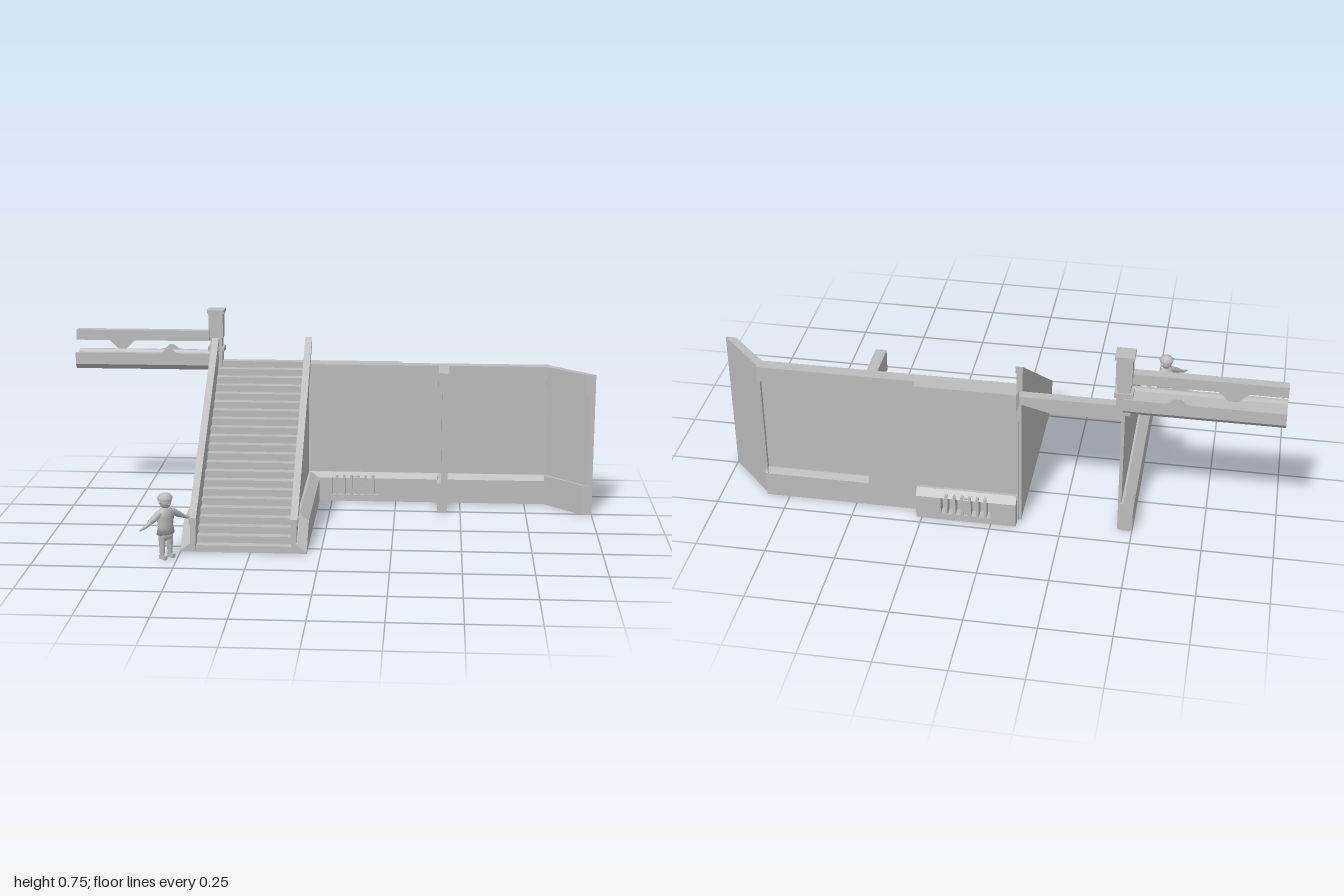
import * as THREE from 'three';
import { ConvexGeometry } from 'three/addons/geometries/ConvexGeometry.js';

const stone = new THREE.MeshStandardMaterial({ color: 0xbcbcbc });
stone.name = 'grey stone';

export function createModel() {
  const root = new THREE.Group();
  root.name = 'stairAndWall';

  const add = (name, geo, parent = root) => {
    const m = new THREE.Mesh(geo, stone);
    m.name = name;
    parent.add(m);
    return m;
  };
  const group = (name, parent = root) => {
    const g = new THREE.Group();
    g.name = name;
    parent.add(g);
    return g;
  };
  // Box given by its limits on each axis
  const box = (name, x0, x1, y0, y1, z0, z1, parent) =>
    add(name, new THREE.BoxGeometry(x1 - x0, y1 - y0, z1 - z0)
      .translate((x0 + x1) / 2, (y0 + y1) / 2, (z0 + z1) / 2), parent);
  const extrude = (pts, depth) => new THREE.ExtrudeGeometry(
    new THREE.Shape(pts.map(p => new THREE.Vector2(p[0], p[1]))), { depth, bevelEnabled: false });
  // [z, y] outline swept along x
  const alongX = (name, pts, x0, x1, parent) =>
    add(name, extrude(pts.map(([z, y]) => [-z, y]), x1 - x0).rotateY(Math.PI / 2).translate(x0, 0, 0), parent);
  // [x, y] outline swept along z
  const alongZ = (name, pts, z0, z1, parent) =>
    add(name, extrude(pts, z1 - z0).translate(0, 0, z0), parent);
  // [x, z] outline swept upwards
  const alongY = (name, pts, y0, y1, parent) =>
    add(name, extrude(pts.map(([x, z]) => [x, -z]), y1 - y0).rotateX(-Math.PI / 2).translate(0, y0, 0), parent);

  // Staircase: overlapping blocks leave a saw-toothed underside
  const stairs = group('staircase');
  const steps = 22, run = 0.77 / steps, rise = 0.545 / steps;
  for (let i = 0; i < steps; i++) {
    const z = 0.31 - i * run;
    box('step', -0.445, -0.1, i * rise, (i + 1) * rise, Math.max(z - run * 1.25, -0.46), z, stairs);
  }

  // Stair side walls: thin panel, sloping band, handrail and bevelled plinth
  for (const side of [1, -1]) {
    const g = group(side > 0 ? 'leftStairWall' : 'rightStairWall');
    const end = -0.425;
    alongX('sidePanel', [[0.31, 0], [0.31, 0.1], [end, 0.62], [end, 0]], 0.172, 0.184, g);
    alongX('slopingBand', [[0.31, 0.03], [0.31, 0.11], [end, 0.63], [end, 0.545]], 0.17, 0.19, g);
    alongX('handrail', [[0.31, 0.1], [0.31, 0.125], [end, 0.643], [end, 0.618]], 0.168, 0.194, g);
    const back = side > 0 ? -0.385 : -0.43;
    const ring = (x, top, low) => [[0.31, 0], [0.31, low], [0.2, top], [back, top], [back, 0]]
      .map(([z, y]) => new THREE.Vector3(x, y, z));
    add('plinth', new ConvexGeometry([...ring(0.18, 0.115, 0.03), ...ring(0.192, 0.115, 0.03),
      ...ring(0.226, 0.09, 0.005)]), g);
    // Mirror the vertices and turn the faces round for the other side
    if (side < 0) g.children.forEach(m => {
      const geo = m.geometry.index ? m.geometry.toNonIndexed() : m.geometry;
      geo.scale(-1, 1, 1);
      const p = geo.attributes.position;
      for (let i = 0; i < p.count; i += 3) {
        const a = new THREE.Vector3().fromBufferAttribute(p, i + 1);
        const b = new THREE.Vector3().fromBufferAttribute(p, i + 2);
        p.setXYZ(i + 1, b.x, b.y, b.z);
        p.setXYZ(i + 2, a.x, a.y, a.z);
      }
      geo.computeVertexNormals();
      m.geometry = geo;
    });
    g.position.x = -0.275;
  }

  // Post at the top of the stairs
  const post = group('post');
  box('postFoot', -0.48, -0.43, 0.51, 0.585, -0.465, -0.42, post);
  box('postCollar', -0.487, -0.423, 0.583, 0.6, -0.472, -0.418, post);
  box('postNeck', -0.478, -0.432, 0.6, 0.64, -0.465, -0.424, post);
  box('postBlock', -0.483, -0.427, 0.637, 0.735, -0.473, -0.415, post);
  box('postCap', -0.488, -0.422, 0.733, 0.746, -0.477, -0.411, post);

  // Raised balustrade running from the post
  const rail = group('balustrade');
  alongX('lowerBeam', [[-0.38, 0.58], [-0.38, 0.535], [-0.398, 0.515], [-0.457, 0.515],
    [-0.475, 0.535], [-0.475, 0.58], [-0.462, 0.58], [-0.457, 0.57], [-0.398, 0.57], [-0.393, 0.58]], -1, -0.455, rail);
  alongZ('upperBeam', [[-1, 0.665], [-1, 0.625], [-0.87, 0.625], [-0.835, 0.592], [-0.805, 0.592],
    [-0.77, 0.625], [-0.48, 0.625], [-0.48, 0.665]], -0.445, -0.41, rail);
  for (const z of [-0.48, -0.393]) {
    alongZ('crest', [[-0.7, 0.575], [-0.66, 0.585], [-0.645, 0.6], [-0.63, 0.6], [-0.61, 0.585], [-0.57, 0.575]],
      z + 0.005, z + 0.013, rail);
    alongZ('diamond', [[-0.665, 0.558], [-0.637, 0.576], [-0.609, 0.558], [-0.637, 0.54]], z, z + 0.018, rail);
  }

  // Wall cores, thinnest behind the framed panels
  const wall = group('wall');
  const H = 0.546;
  box('firstPanel', -0.093, 0.27, 0, H, -0.435, -0.394, wall);
  box('pilaster', 0.268, 0.45, 0, H, -0.425, -0.394, wall);
  box('secondPanel', 0.448, 0.84, 0, H, -0.41, -0.394, wall);

  // Top trims with a pointed tooth and angled corners
  const trim = (x0, x1, t0, t1, t2, t3, z0, z1) => alongZ('topTrim', [[x0, H], [x0, 0.475], [x0 + 0.035, 0.505],
    [t0, 0.505], [t1, 0.468], [t2, 0.468], [t3, 0.505], [x1 - 0.03, 0.505], [x1, 0.475], [x1, H]], z0, z1, wall);
  trim(-0.09, 0.42, 0.215, 0.262, 0.282, 0.33, -0.396, -0.38);
  trim(0.44, 0.835, 0.72, 0.785, 0.8, 0.802, -0.396, -0.38);
  trim(-0.09, 0.27, 0.05, 0.085, 0.1, 0.135, -0.456, -0.433);
  trim(0.44, 0.835, 0.6, 0.635, 0.65, 0.685, -0.425, -0.408);

  // Plinths with a bevelled top; the grille sections are left open
  const plinth = (x0, x1, zIn, zOut, y0 = 0) => {
    const zTop = zIn + (zOut - zIn) * 0.35;
    const pts = [[zIn, y0], [zOut, y0], [zOut, 0.093], [zTop, 0.115], [zIn, 0.115]];
    alongX('wallPlinth', pts, x0, x1, wall);
  };
  const grille = (zIn, zOut) => {
    const g = group('grille', wall);
    const lo = Math.min(zIn, zOut), hi = Math.max(zIn, zOut);
    box('grilleSill', 0, 0.18, 0, 0.025, lo, hi, g);
    plinth(0, 0.18, zIn, zOut, 0.1);
    for (let i = 0; i < 6; i++) {
      const x = 0.02 + i * 0.028, tall = i > 1 && i < 4;
      box('grilleBar', x - 0.005, x + 0.005, 0.02, 0.105, lo, hi + (tall && zOut > zIn ? 0.004 : 0), g);
    }
    alongZ('grilleBadge', [[0.07, 0.065], [0.08, 0.1], [0.1, 0.1], [0.11, 0.065], [0.1, 0.03], [0.08, 0.03]],
      lo + 0.002, hi - 0.001, g);
  };
  for (const [end, zIn, zOut] of [[0.42, -0.396, -0.379], [0.27, -0.433, -0.471]]) {
    plinth(-0.09, 0, zIn, zOut);
    plinth(0.18, end, zIn, zOut);
    grille(zIn, zOut);
  }
  plinth(0.44, 0.835, -0.396, -0.379);
  plinth(0.44, 0.835, -0.408, -0.425);

  // Buttress standing out from the wall, wider at head and foot
  const buttress = group('buttress');
  box('buttressShaft', 0.425, 0.45, 0, H, -0.4, -0.242, buttress);
  box('buttressHead', 0.411, 0.45, 0.465, H, -0.4, -0.24, buttress);
  box('buttressFoot', 0.411, 0.45, 0, 0.115, -0.4, -0.24, buttress);

  // Angled wing closing the far end
  const wing = group('angledWing');
  alongY('wingSlab', [[0.825, -0.425], [1, -0.245], [0.98, -0.245], [0.825, -0.4]], 0, H, wing);
  for (const [y0, y1] of [[0, 0.115], [0.465, H]])
    alongY('wingBand', [[0.825, -0.42], [0.995, -0.244], [0.962, -0.244], [0.825, -0.382]], y0, y1, wing);

  // Small standing figure with outstretched arms
  const man = group('figure');
  man.position.set(-0.54, 0, 0.385);
  man.rotation.y = 0.849;
  const limb = (name, a, b, r0, r1) => {
    const p = new THREE.Vector3(...a), q = new THREE.Vector3(...b), d = q.clone().sub(p);
    const m = add(name, new THREE.CylinderGeometry(r1, r0, d.length(), 8), man);
    m.position.copy(p).add(q).multiplyScalar(0.5);
    m.quaternion.setFromUnitVectors(new THREE.Vector3(0, 1, 0), d.normalize());
  };
  const lathe = (name, pts, sx, sz) => add(name, new THREE.LatheGeometry(
    pts.map(p => new THREE.Vector2(p[0], p[1])), 12).scale(sx, 1, sz), man);
  lathe('hips', [[0, 0.065], [0.026, 0.072], [0.03, 0.095], [0, 0.1]], 1, 0.7);
  lathe('jacket', [[0, 0.088], [0.037, 0.09], [0.031, 0.12], [0.036, 0.155], [0.03, 0.176], [0.013, 0.186], [0, 0.187]], 1, 0.62);
  lathe('neck', [[0.012, 0.18], [0.011, 0.196]], 1, 1);
  for (const s of [1, -1]) {
    limb('leg', [s * 0.018, 0.012, 0], [s * 0.016, 0.085, 0], 0.008, 0.014);
    box('foot', s * 0.018 - 0.007, s * 0.018 + 0.007, 0, 0.014, -0.01, 0.02, man);
    limb('upperArm', [s * 0.026, 0.168, 0], [s * 0.068, 0.144, 0], 0.013, 0.01);
    limb('forearm', [s * 0.066, 0.145, 0], [s * 0.1, 0.128, 0], 0.009, 0.005);
    limb('hand', [s * 0.098, 0.129, 0], [s * 0.117, 0.125, 0.002], 0.006, 0.003);
    add('ear', new THREE.SphereGeometry(0.006, 6, 5), man).position.set(s * 0.023, 0.207, 0);
  }
  add('head', new THREE.SphereGeometry(0.022, 12, 10).scale(1, 1.12, 1), man).position.set(0, 0.207, 0.001);
  add('nose', new THREE.ConeGeometry(0.004, 0.01, 6), man).position.set(0, 0.204, 0.024);
  lathe('hair', [[0.025, 0.212], [0.028, 0.222], [0.019, 0.233], [0, 0.24]], 1, 1);

  return root;
}
